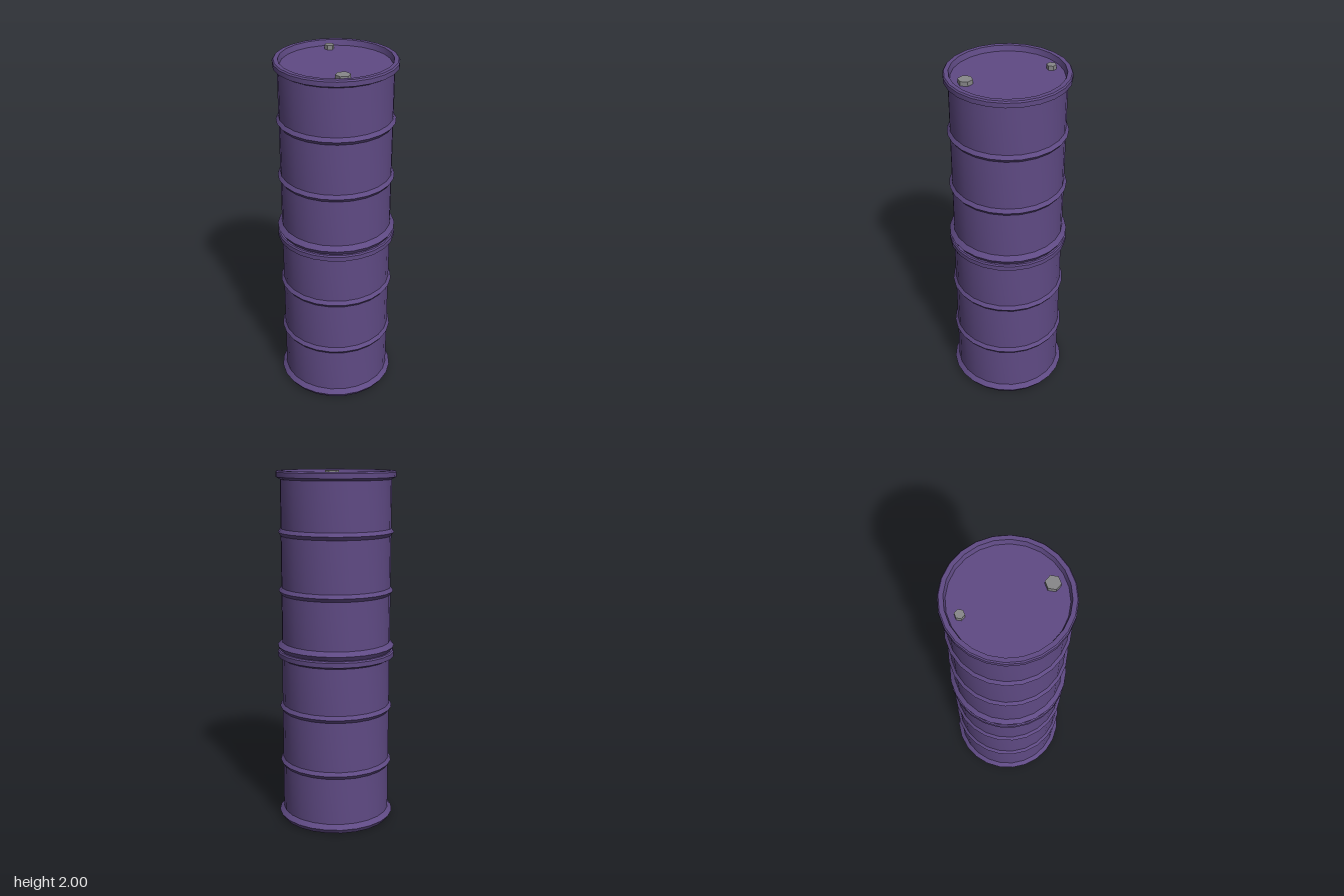
import * as THREE from 'three';
import { toCreasedNormals } from 'three/addons/utils/BufferGeometryUtils.js';

const purple = new THREE.MeshStandardMaterial({ color: 0x5f4a84 });
purple.name = 'purple paint';
const grey = new THREE.MeshStandardMaterial({ color: 0x88888a });
grey.name = 'grey metal';

const SIDES = 24;
const BODY = 0.308;
const LID = 0.97;

// Pointed rolling hoop around the wall
const hoop = (y) => [[BODY, y - 0.02], [0.323, y], [BODY, y + 0.02]];

// Drum shell: base, bottom chime, wall with hoops, top rim, recessed lid
function shellGeometry() {
  const profile = [
    [0, 0], [0.315, 0], [0.332, 0.026], [BODY, 0.05],
    ...hoop(0.34), ...hoop(0.667),
    [BODY, 0.953], [0.332, 0.966], [0.332, 0.992], [0.326, 1],
    [0.303, 1], [0.295, LID], [0, LID],
  ].map(([r, y]) => new THREE.Vector2(r, y));
  return toCreasedNormals(new THREE.LatheGeometry(profile, SIDES), Math.PI / 8);
}

// Hexagonal plug with corners on the x axis
function plug(name, radius, z) {
  const geometry = toCreasedNormals(new THREE.CylinderGeometry(radius, radius, 0.024, 6), 0.3);
  const mesh = new THREE.Mesh(geometry, grey);
  mesh.name = name;
  mesh.rotation.y = Math.PI / 6;
  mesh.position.set(0, LID + 0.012, z);
  return mesh;
}

function drum(name, y, turn) {
  const group = new THREE.Group();
  group.name = name;
  const shell = new THREE.Mesh(shellGeometry(), purple);
  shell.name = 'drumShell';
  group.add(shell);
  const plugs = new THREE.Group();
  plugs.name = 'plugs';
  plugs.add(plug('largePlug', 0.04, 0.227), plug('smallPlug', 0.026, -0.239));
  group.add(plugs);
  shell.rotation.y = turn;
  group.position.y = y;
  return group;
}

export function createModel() {
  const model = new THREE.Group();
  model.name = 'stackedDrums';
  // The two drums are turned half a facet from each other
  model.add(drum('lowerDrum', 0, 0), drum('upperDrum', 1, Math.PI / SIDES));
  return model;
}
